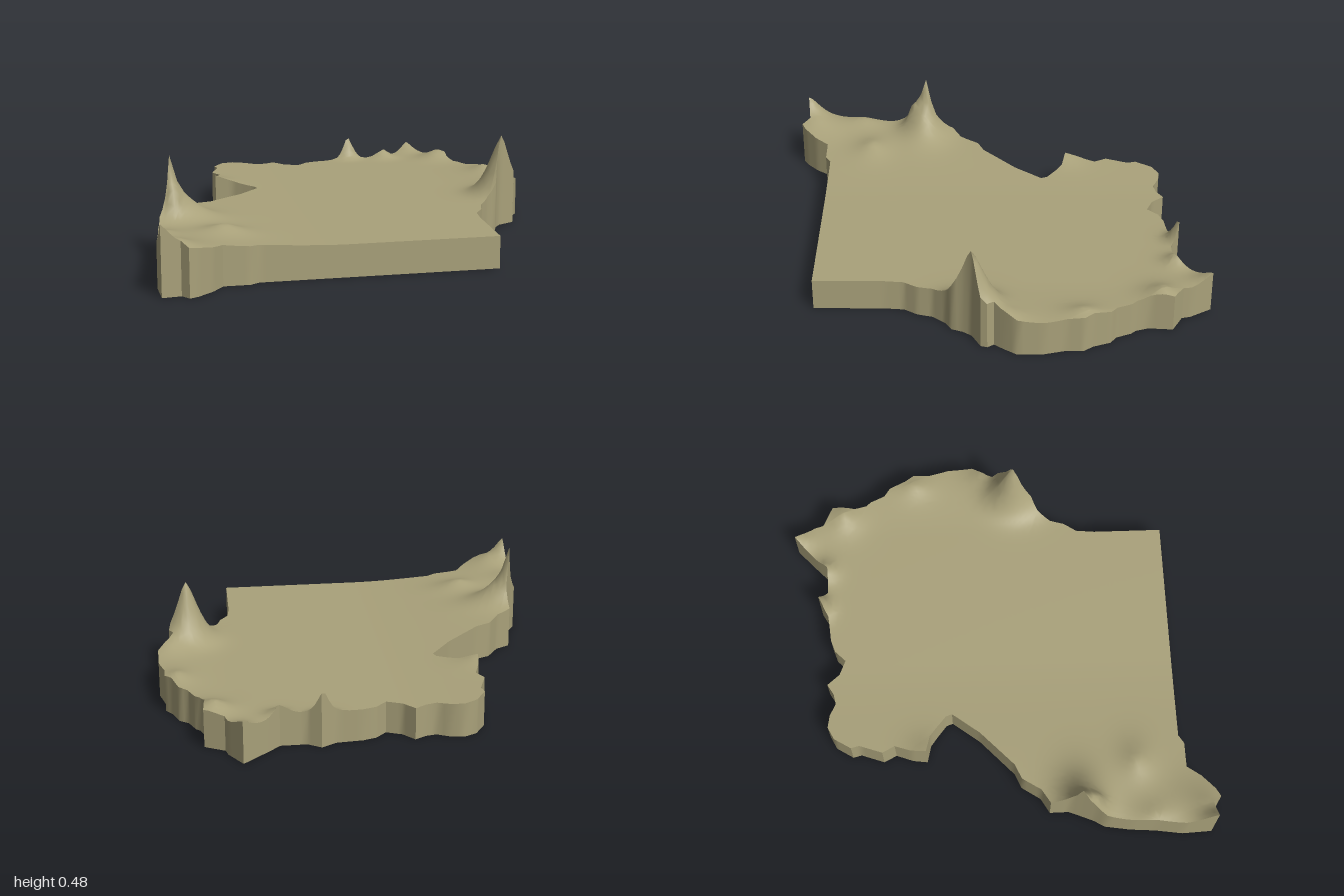
import * as THREE from 'three';
import { mergeVertices, toCreasedNormals } from 'three/addons/utils/BufferGeometryUtils.js';

// Border of the slab as x, z pairs, clockwise seen from above
const OUTLINE = [
  0.6, -1, 0.66, -0.9, 0.67, -0.86, 0.76, -0.81, 0.75, -0.7, 0.77, -0.64, 0.79, -0.62, 0.82, -0.55,
  0.86, -0.52, 0.89, -0.44, 0.92, -0.4, 0.92, -0.32, 0.945, -0.22, 0.945, -0.1, 0.91, -0.05, 0.87, 0,
  0.89, 0.03, 0.88, 0.06, 0.8, 0.1, 0.77, 0.14, 0.75, 0.19, 0.7, 0.22, 0.65, 0.28, 0.63, 0.35,
  0.59, 0.41, 0.58, 0.5, 0.575, 0.83, -0.51, 0.83, -0.55, 0.855, -0.67, 0.855, -0.72, 0.92,
  -0.79, 0.98, -0.83, 1, -0.86, 0.96, -0.945, 0.97, -0.95, 0.83, -0.93, 0.7, -0.92, 0.58,
  -0.9, 0.46, -0.87, 0.41, -0.84, 0.34, -0.82, 0.29, -0.82, 0.2, -0.75, 0.16, -0.69, 0.07, -0.62, 0.04,
  -0.45, -0.12, -0.35, -0.25, -0.36, -0.28, -0.42, -0.33, -0.46, -0.36, -0.54, -0.38, -0.53, -0.45,
  -0.5, -0.53, -0.53, -0.59, -0.49, -0.7, -0.5, -0.74, -0.45, -0.82, -0.39, -0.85, -0.33, -0.84,
  -0.27, -0.81, -0.22, -0.82, -0.17, -0.85, -0.12, -0.79, -0.05, -0.76, 0, -0.81, 0.06, -0.83,
  0.18, -0.84, 0.25, -0.88, 0.31, -0.84, 0.43, -0.84, 0.48, -0.89,
];

// Mountains: x, z, height, spread in x, spread in z
const PEAKS = [
  [-0.84, 0.34, 0.13, 0.025, 0.025],
  [-0.84, 0.35, 0.17, 0.13, 0.09],
  [-0.83, 0.41, 0.07, 0.03, 0.03],
  [0.8, 0.1, 0.29, 0.08, 0.09],
  [0.9, -0.06, 0.03, 0.07, 0.08],
  [0.24, -0.88, 0.12, 0.045, 0.04],
  [0.43, -0.85, 0.05, 0.05, 0.05],
  [0.6, -1, 0.05, 0.06, 0.08],
  [0.71, -0.76, 0.05, 0.08, 0.08],
  [0.86, -0.4, 0.03, 0.06, 0.08],
  [-0.95, 0.97, 0.12, 0.06, 0.08],
  [-0.85, 0.92, 0.05, 0.12, 0.16],
  [-0.63, 0.62, 0.04, 0.1, 0.08],
  [-0.9, 0.68, 0.03, 0.08, 0.1],
  [-0.54, -0.38, 0.03, 0.08, 0.08],
];
const STEP = 0.035;

function heightAt(x, z) {
  let y = 0.15 + 0.03 * THREE.MathUtils.smoothstep(-x, 0.1, 0.8) + 0.015 * THREE.MathUtils.smoothstep(x, 0.6, 0.95);
  for (const [px, pz, h, sx, sz] of PEAKS) {
    y += h * Math.exp(-Math.pow(Math.hypot((x - px) / sx, (z - pz) / sz), 1.5));
  }
  return y;
}

const middle = (a, b) => a.clone().add(b).multiplyScalar(0.5);

// Halve the longest edge until every edge is short
function splitTriangle(a, b, c, emit) {
  const ab = a.distanceTo(b), bc = b.distanceTo(c), ca = c.distanceTo(a);
  const longest = Math.max(ab, bc, ca);
  if (longest <= STEP) {
    emit(a, b, c);
  } else if (ab < longest) {
    // Turn the triangle so that its longest edge comes first
    splitTriangle(b, c, a, emit);
  } else {
    const m = middle(a, b);
    splitTriangle(a, m, c, emit);
    splitTriangle(m, b, c, emit);
  }
}

function splitEdge(a, b, emit) {
  if (a.distanceTo(b) <= STEP) {
    emit(a, b);
  } else {
    const m = middle(a, b);
    splitEdge(a, m, emit);
    splitEdge(m, b, emit);
  }
}

function geometryFrom(positions) {
  const g = new THREE.BufferGeometry();
  g.setAttribute('position', new THREE.Float32BufferAttribute(positions, 3));
  return g;
}

export function createModel() {
  const group = new THREE.Group();
  group.name = 'reliefMap';
  const earth = new THREE.MeshStandardMaterial({ color: 0xa9a17a });
  earth.name = 'khaki earth';

  const rim = [];
  for (let i = 0; i < OUTLINE.length; i += 2) rim.push(new THREE.Vector2(OUTLINE[i], OUTLINE[i + 1]));
  const ground = (p) => [p.x, 0, p.y];
  const surface = (p) => [p.x, heightAt(p.x, p.y), p.y];

  // Terrain on top and flat underside
  const top = [], bottom = [];
  for (const face of THREE.ShapeUtils.triangulateShape(rim, [])) {
    let [a, b, c] = face.map((i) => rim[i]);
    // Order the corners so that the terrain faces up
    if (b.clone().sub(a).cross(c.clone().sub(a)) > 0) [b, c] = [c, b];
    bottom.push(...ground(a), ...ground(c), ...ground(b));
    splitTriangle(a, b, c, (p, q, r) => top.push(...surface(p), ...surface(q), ...surface(r)));
  }

  // Cliff around the rim
  const wall = [];
  rim.forEach((a, i) => splitEdge(a, rim[(i + 1) % rim.length], (p, q) => {
    wall.push(...ground(q), ...ground(p), ...surface(p), ...ground(q), ...surface(p), ...surface(q));
  }));

  const terrain = mergeVertices(geometryFrom(top), 1e-5);
  terrain.computeVertexNormals();
  const underside = geometryFrom(bottom);
  underside.computeVertexNormals();
  const parts = { terrain, underside, cliffWall: toCreasedNormals(geometryFrom(wall), 0.7) };
  for (const [name, geometry] of Object.entries(parts)) {
    const mesh = new THREE.Mesh(geometry, earth);
    mesh.name = name;
    group.add(mesh);
  }
  return group;
}
